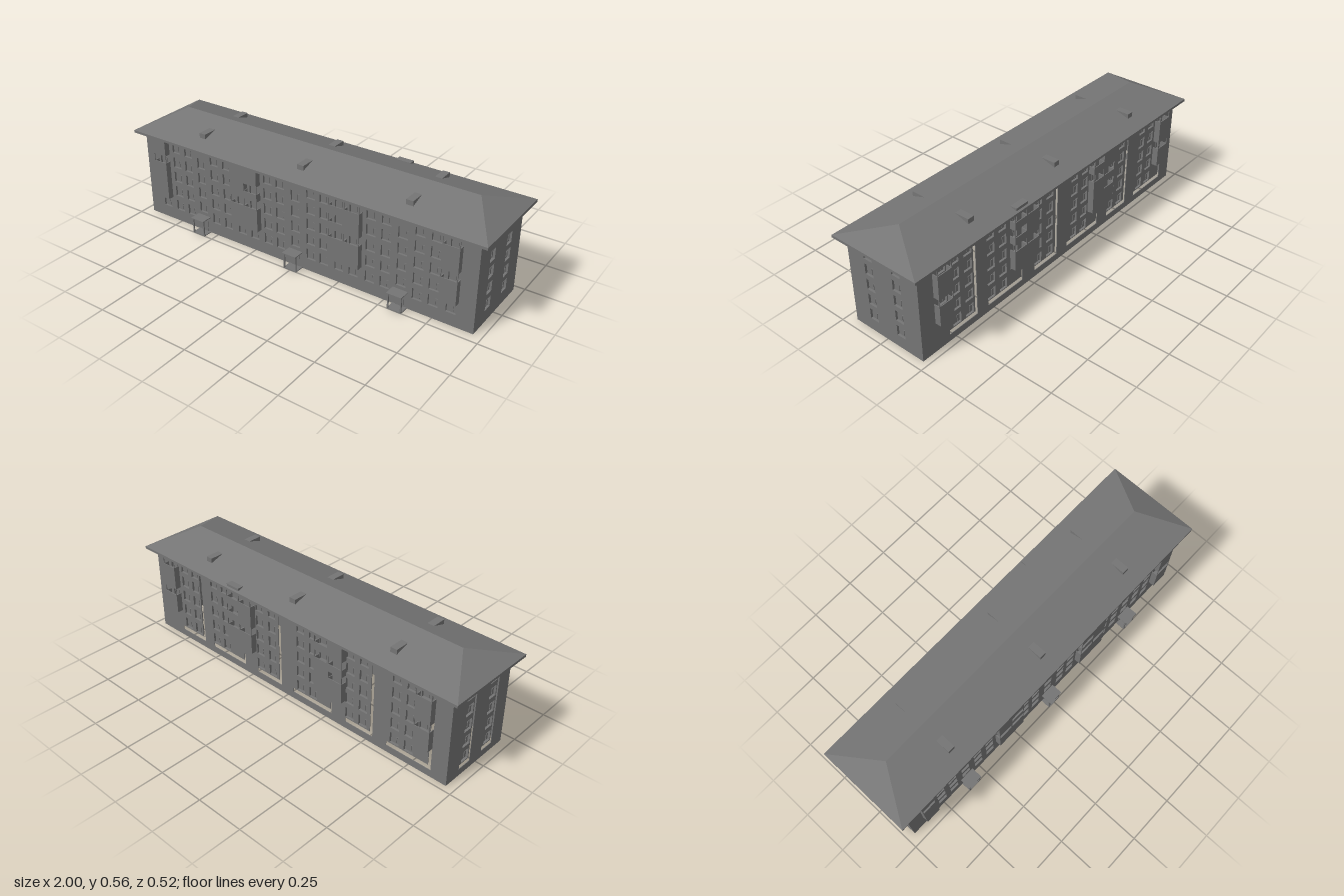
import * as THREE from 'three';
import { mergeGeometries } from 'three/addons/utils/BufferGeometryUtils.js';

const mat = new THREE.MeshStandardMaterial({ color: 0x757575, flatShading: true, side: THREE.DoubleSide });
const FLOORS = [0.065, 0.148, 0.231, 0.314, 0.397]; // window sill heights
const HALF = [0.107, 0.19, 0.273, 0.356]; // stairwell sill heights
const WIN_W = 0.05, WIN_H = 0.056, RECESS = 0.012, WALL_T = 0.003, WALL_H = 0.466;
const STAIRS = [-0.585, 0, 0.585];

// Box given by its extents
function boxGeo(x0, x1, y0, y1, z0, z1) {
  return new THREE.BoxGeometry(x1 - x0, y1 - y0, z1 - z0)
    .translate((x0 + x1) / 2, (y0 + y1) / 2, (z0 + z1) / 2);
}

function mesh(name, geos) {
  const m = new THREE.Mesh(Array.isArray(geos) ? mergeGeometries(geos) : geos, mat);
  m.name = name;
  return m;
}

// Thin wall with window niches; gaps are L-shaped slits [u0, u1, slitTop, slitWidth]
function makeWall(name, u0, u1, windows, gaps = []) {
  const g = new THREE.Group();
  g.name = name;
  const shape = new THREE.Shape();
  shape.moveTo(u0, 0).lineTo(u1, 0).lineTo(u1, WALL_H).lineTo(u0, WALL_H).closePath();
  const niches = [];
  for (const [u, y] of windows) {
    const a = u - WIN_W / 2, b = u + WIN_W / 2, t = y + WIN_H, e = 0.001;
    const hole = new THREE.Path();
    hole.moveTo(a, y).lineTo(a, t).lineTo(b, t).lineTo(b, y).closePath();
    shape.holes.push(hole);
    niches.push(
      // pane
      boxGeo(a, b, y, t, -RECESS, -RECESS + e),
      // reveals
      boxGeo(a - e, a, y, t, -RECESS, -e), boxGeo(b, b + e, y, t, -RECESS, -e),
      boxGeo(a, b, y - e, y, -RECESS, -e), boxGeo(a, b, t, t + e, -RECESS, -e),
      // mullion and transom
      boxGeo(u + 0.007, u + 0.009, y + 0.006, t - 0.017, -RECESS, -RECESS + 0.004),
      boxGeo(u + 0.007, b, t - 0.019, t - 0.017, -RECESS, -RECESS + 0.004),
    );
  }
  for (const [a, b, top, w] of gaps) {
    const p = new THREE.Path();
    p.moveTo(a, 0.036).lineTo(b, 0.036).lineTo(b, top).lineTo(b - w, top)
      .lineTo(b - w, 0.06).lineTo(a, 0.06).closePath();
    shape.holes.push(p);
  }
  const geo = new THREE.ExtrudeGeometry(shape, { depth: WALL_T, bevelEnabled: false });
  g.add(mesh(name + 'Panel', geo.translate(0, 0, -WALL_T)), mesh(name + 'Windows', niches));
  return g;
}

const grid = (columns, sills) => columns.flatMap(u => sills.map(y => [u, y]));

// Stack of balconies: 'c' is glazed in, 'o' is open above a parapet
function makeBalcony(name, x0, x1, levels, kinds, depth) {
  const geos = [];
  const t = 0.004;
  [...kinds].forEach((kind, i) => {
    const y0 = levels[i], y1 = levels[i + 1];
    const top = kind === 'c' ? y1 : y0 + 0.5 * (y1 - y0);
    geos.push(
      boxGeo(x0, x1, y0, y0 + t, 0, depth),
      boxGeo(x0, x1, y0, top, depth - t, depth),
      boxGeo(x0, x0 + t, y0, top, 0, depth),
      boxGeo(x1 - t, x1, y0, top, 0, depth),
    );
    if (kind === 'c') {
      geos.push(boxGeo(x0, x1, y1 - t, y1, 0, depth));
    } else {
      geos.push(boxGeo(x0, x0 + t, top, y1, depth - t, depth), boxGeo(x1 - t, x1, top, y1, depth - t, depth));
    }
  });
  return mesh(name, geos);
}

// Entrance porch with base, two posts, canopy and door
function makePorch(x) {
  const g = new THREE.Group();
  g.name = 'entrancePorch';
  g.add(
    mesh('porchBase', boxGeo(-0.038, 0.038, 0, 0.004, 0, 0.052)),
    mesh('porchCanopy', boxGeo(-0.04, 0.04, 0.086, 0.09, 0, 0.06)),
    mesh('porchPosts', [-1, 1].map(s => boxGeo(s * 0.034 - 0.003, s * 0.034 + 0.003, 0, 0.088, 0.045, 0.052))),
    mesh('entranceDoor', boxGeo(-0.022, 0.022, 0.004, 0.072, 0, 0.003)),
  );
  g.position.set(x, 0, 0.2);
  return g;
}

// Hipped roof: a box whose top is drawn in to the ridge
function makeRoof() {
  const g = new THREE.Group();
  g.name = 'roof';
  const hip = new THREE.BoxGeometry(2, 0.082, 0.5);
  const p = hip.attributes.position;
  for (let i = 0; i < p.count; i++) {
    if (p.getY(i) > 0) p.setXYZ(i, Math.sign(p.getX(i)) * 0.84, 0.041, 0);
  }
  const flat = hip.toNonIndexed();
  flat.computeVertexNormals();
  g.add(mesh('hippedRoof', flat.translate(0, 0.519, -0.01)));
  g.add(mesh('eaves', boxGeo(-1, 1, 0.465, 0.478, -0.26, 0.24)));
  for (const x of [-0.603, 0, 0.585]) {
    g.add(mesh('frontDormer', boxGeo(x - 0.018, x + 0.018, 0.5, 0.53, 0.075, 0.157)));
    g.add(mesh('backDormer', boxGeo(x - 0.018, x + 0.018, 0.5, 0.53, -0.177, -0.1)));
  }
  g.add(mesh('balconyRoofBox', boxGeo(0.295, 0.375, 0.465, 0.495, -0.25, -0.216)));
  return g;
}

export function createModel() {
  const model = new THREE.Group();
  model.name = 'apartmentBlock';
  const mirrored = list => list.flatMap(x => [-x, x]);

  // Front wall
  const front = makeWall('frontWall', -0.956, 0.956, [
    ...grid(mirrored([0.75, 0.67, 0.5, 0.42, 0.165, 0.09]), FLOORS),
    ...grid(mirrored([0.84, 0.33, 0.25]), FLOORS),
    ...grid(STAIRS, HALF),
  ]);
  front.position.z = 0.2;

  // Back wall, measured from its own left, so u = -x
  const back = makeWall('backWall', -0.956, 0.956, [
    ...grid([-0.74, -0.66, -0.515, -0.435, -0.185, -0.1, 0.09, 0.17, 0.4, 0.48, 0.665, 0.745], FLOORS),
    ...grid([-0.82, -0.36, 0.235, 0.82], FLOORS.slice(1)),
  ], [
    [-0.79, -0.61, 0.455, 0.016], [-0.54, -0.3, 0.1, 0.008], [-0.21, -0.04, 0.455, 0.016],
    [0.04, 0.29, 0.1, 0.008], [0.375, 0.54, 0.455, 0.016], [0.62, 0.87, 0.455, 0.016],
  ]);
  back.rotation.y = Math.PI;
  back.position.z = -0.219;

  // End walls
  const left = makeWall('leftEndWall', -0.2, 0.219, grid([-0.075, 0.093], FLOORS));
  left.rotation.y = Math.PI / 2;
  left.position.x = 0.956;
  const right = makeWall('rightEndWall', -0.219, 0.2, grid([-0.093, 0.075], FLOORS),
    [[-0.13, -0.05, 0.455, 0.012], [0.038, 0.118, 0.455, 0.012]]);
  right.rotation.y = -Math.PI / 2;
  right.position.x = -0.956;
  model.add(front, back, left, right);

  // Front balconies
  const frontLevels = [0.13, 0.213, 0.296, 0.379, 0.465];
  for (const [x0, x1, kinds] of [
    [-0.88, -0.8, 'ccoc'], [-0.375, -0.292, 'cocc'], [-0.292, -0.21, 'cooc'],
    [0.205, 0.29, 'cooo'], [0.29, 0.375, 'coco'], [0.79, 0.875, 'coco'],
  ]) {
    const b = makeBalcony('frontBalcony', x0, x1, frontLevels, kinds, 0.031);
    b.position.z = 0.2;
    model.add(b);
  }

  // Back balconies, turned to face -z
  const backLevels = [0.157, 0.225, 0.298, 0.38, 0.465];
  for (const [u0, u1, kinds] of [
    [-0.87, -0.785, 'coco'], [-0.385, -0.3, 'cooo'], [-0.3, -0.215, 'coco'],
    [0.205, 0.29, 'ccoo'], [0.29, 0.375, 'cooc'], [0.785, 0.87, 'coco'],
  ]) {
    const b = makeBalcony('backBalcony', u0, u1, backLevels, kinds, 0.032);
    b.rotation.y = Math.PI;
    b.position.z = -0.219;
    model.add(b);
  }

  STAIRS.forEach(x => model.add(makePorch(x)));
  model.add(makeRoof());
  return model;
}
